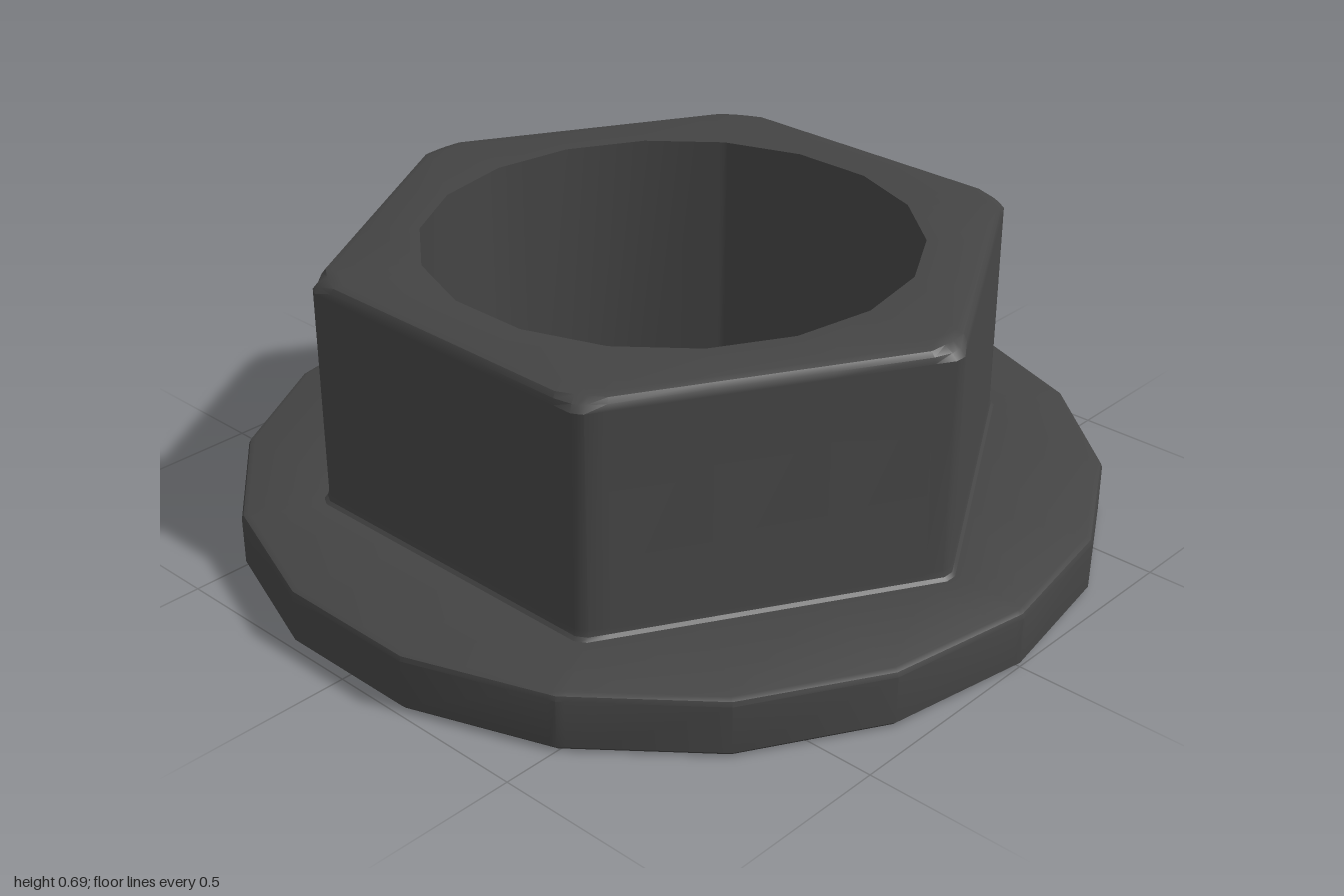
import * as THREE from 'three';
import { toCreasedNormals } from 'three/addons/utils/BufferGeometryUtils.js';

// Angles hold every corner of the 18-sided rim and bore, plus the eased hexagon corners
const degrees = [];
for (let a = 0; a < 360; a += 60) degrees.push(a - 4, a - 1, a, a + 1, a + 4, a + 20, a + 40);

// Radius of a regular polygon in a given direction
function polygon(sides, corner, deg) {
  const step = (2 * Math.PI) / sides;
  const t = THREE.MathUtils.degToRad(deg + 360);
  const off = (t % step) - step / 2;
  return (corner * Math.cos(step / 2)) / Math.cos(off);
}

// Ring makers: round = 18-sided, hex = flat distance with corners capped
const round = (r, y) => degrees.map((d) => [polygon(18, r, d), y, d]);
const hex = (flat, cap, y) =>
  degrees.map((d) => [Math.min(polygon(6, flat / Math.cos(Math.PI / 6), d), cap), y, d]);

// Skins successive rings with quads
function loft(name, rings, material) {
  const n = degrees.length;
  const positions = [];
  const index = [];
  for (const ring of rings) {
    for (const [r, y, d] of ring) {
      const t = THREE.MathUtils.degToRad(d);
      positions.push(r * Math.cos(t), y, -r * Math.sin(t));
    }
  }
  for (let i = 0; i < rings.length - 1; i++) {
    for (let j = 0; j < n; j++) {
      const a = i * n + j;
      const b = i * n + ((j + 1) % n);
      index.push(a, b, b + n, a, b + n, a + n);
    }
  }
  const geometry = new THREE.BufferGeometry();
  geometry.setAttribute('position', new THREE.Float32BufferAttribute(positions, 3));
  geometry.setIndex(index);
  const mesh = new THREE.Mesh(toCreasedNormals(geometry, 0.5), material);
  mesh.name = name;
  return mesh;
}

export function createModel() {
  const group = new THREE.Group();
  group.name = 'flangeNut';
  const metal = new THREE.MeshStandardMaterial({ color: 0x444444 });
  const bore = 0.565;

  // Flat washer flange with eased edges
  group.add(loft('flange', [
    round(bore, 0), round(0.99, 0), round(1, 0.01),
    round(1, 0.12), round(0.996, 0.13), round(0.985, 0.135),
    hex(0.71, 0.812, 0.135),
  ], metal));

  // Hexagonal body with a small foot fillet and rounded top edge
  group.add(loft('hexBody', [
    hex(0.71, 0.812, 0.135), hex(0.703, 0.804, 0.142), hex(0.7, 0.801, 0.155),
    hex(0.7, 0.801, 0.655), hex(0.697, 0.788, 0.669), hex(0.689, 0.768, 0.68),
    hex(0.675, 0.745, 0.685), round(bore, 0.685),
  ], metal));

  // Wall of the through hole
  group.add(loft('bore', [round(bore, 0.685), round(bore, 0)], metal));

  return group;
}
